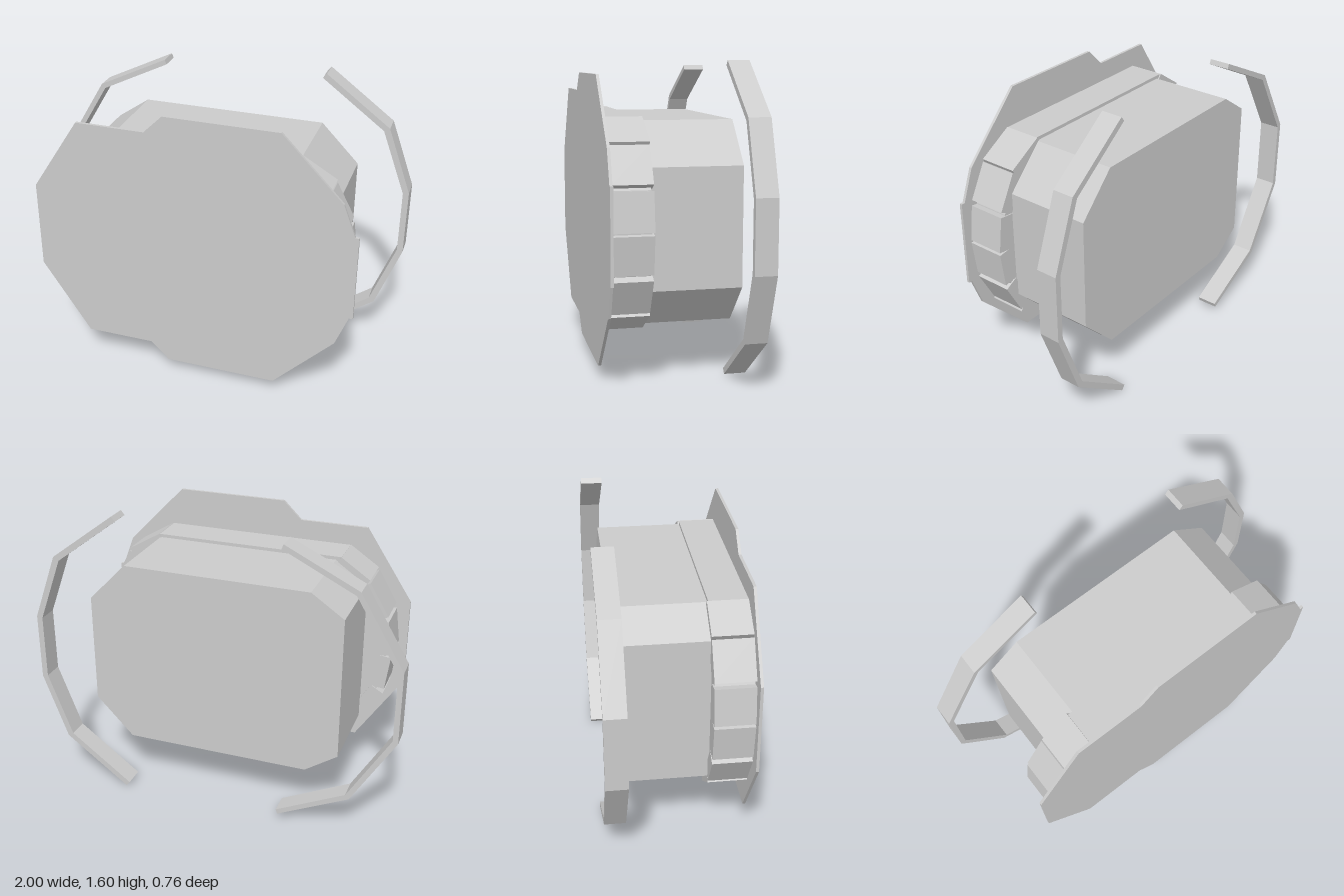
import * as THREE from 'three';

const MID = 0.8; // height of the horizontal symmetry line
const material = new THREE.MeshStandardMaterial({ color: 0xcccccc, flatShading: true });

const mirror = (pts) => pts.map(([x, y]) => [x, 2 * MID - y]).reverse();
const symmetric = (pts) => [...pts, ...mirror(pts)];

// Flat outline extruded from z0 to z1
function slab(name, pts, z0, z1) {
  const shape = new THREE.Shape(pts.map(([x, y]) => new THREE.Vector2(x, y)));
  const geometry = new THREE.ExtrudeGeometry(shape, { depth: z1 - z0, bevelEnabled: false });
  geometry.translate(0, 0, z0);
  const mesh = new THREE.Mesh(geometry, material);
  mesh.name = name;
  return mesh;
}

// Tile whose outer edge runs a -> b, extended inwards by a depth
function tileOutline(a, b, depth) {
  const dx = b[0] - a[0], dy = b[1] - a[1], len = Math.hypot(dx, dy);
  let nx = -dy / len, ny = dx / len;
  if (nx * a[0] > 0) { nx = -nx; ny = -ny; }
  const shift = ([x, y]) => [x + nx * depth, y + ny * depth];
  return [a, b, shift(b), shift(a)];
}

export function createModel() {
  const model = new THREE.Group();
  model.name = 'housing';

  // Thin front plate with notched top and bottom
  model.add(slab('frontPlate', symmetric([
    [-0.88, 1.04], [-0.62, 1.435], [-0.25, 1.435], [-0.15, 1.533], [0.45, 1.533],
    [0.77, 1.205], [0.835, 1.035], [0.855, 1.035],
  ]), 0.362, 0.377));

  // Chamfered main body
  model.add(slab('body', symmetric([
    [-0.68, 1.19], [-0.505, 1.31], [0.5, 1.31], [0.705, 1.1],
  ]), -0.3, 0.17));

  // Collar core between body and plate
  model.add(slab('collar', symmetric([
    [-0.805, 0.82], [-0.78, 0.98], [-0.675, 1.19], [-0.535, 1.328], [0.505, 1.328],
    [0.665, 1.2], [0.755, 1.0], [0.785, 0.82],
  ]), 0.165, 0.362));

  // Overlapping side tiles around the collar
  const tiles = new THREE.Group();
  tiles.name = 'collarTiles';
  const edges = [
    [[0.505, 1.33], [0.69, 1.222]], [[0.69, 1.208], [0.785, 1.03]], [[0.79, 1.0], [0.815, 0.808]],
    [[-0.535, 1.33], [-0.695, 1.222]], [[-0.7, 1.208], [-0.805, 1.03]], [[-0.81, 1.0], [-0.835, 0.808]],
  ];
  for (const [a, b] of edges) {
    const outline = tileOutline(a, b, 0.08);
    tiles.add(slab('upperTile', outline, 0.158, 0.362));
    tiles.add(slab('lowerTile', mirror(outline), 0.158, 0.362));
  }
  model.add(tiles);

  // Bent guard bands at the rear, one on each side
  const bands = {
    leftBand: [
      [[0.515, 1.6], [0.865, 1.34], [0.997, 0.982]],
      [[0.495, 1.575], [0.835, 1.322], [0.965, 0.975]],
    ],
    rightBand: [
      [[-0.385, 1.57], [-0.77, 1.382], [-1, 0.997]],
      [[-0.375, 1.545], [-0.75, 1.36], [-0.972, 0.987]],
    ],
  };
  for (const [name, [outer, inner]] of Object.entries(bands)) {
    const outline = [...symmetric(outer), ...symmetric(inner).reverse()];
    model.add(slab(name, outline, -0.38, -0.268));
  }
  return model;
}
